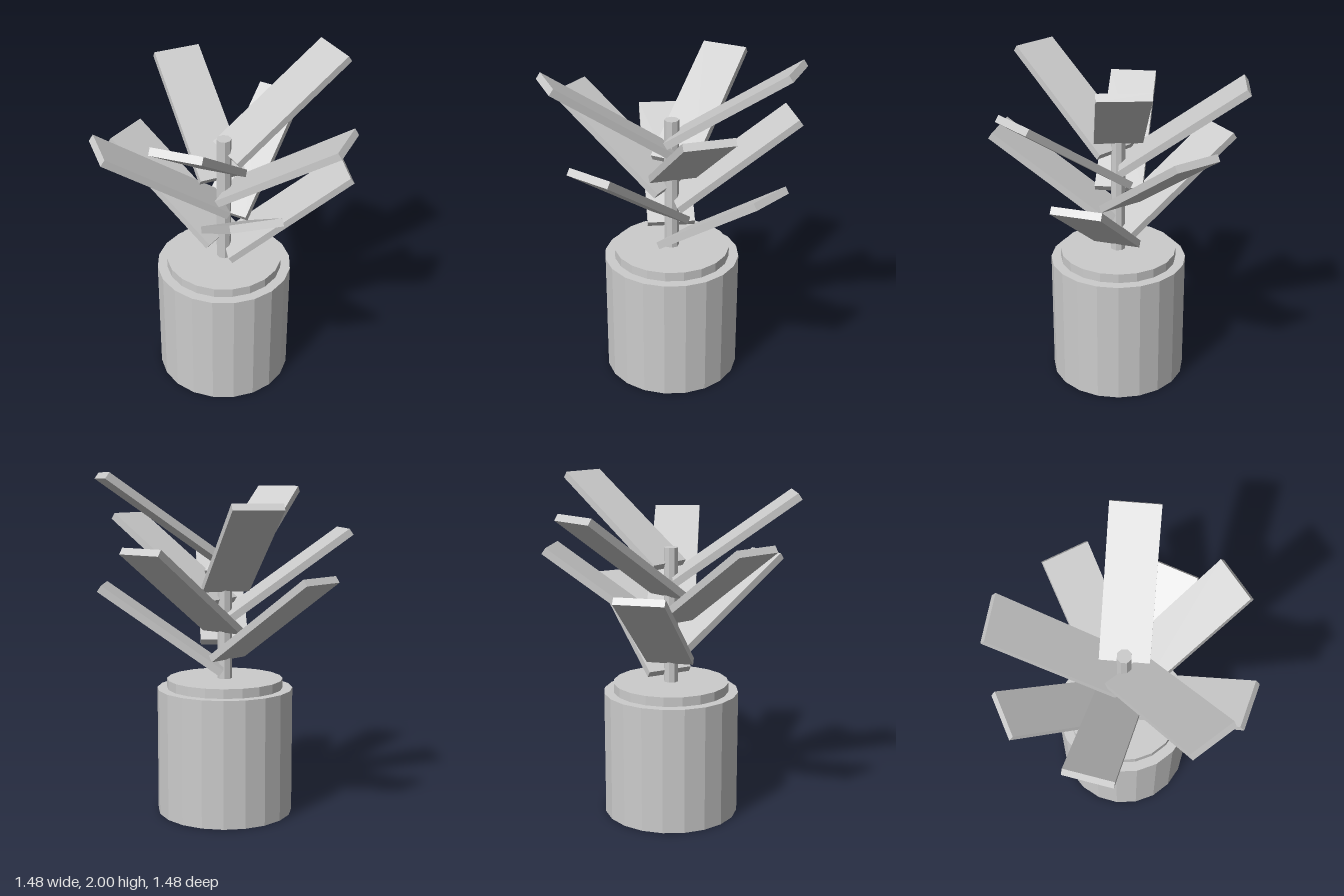
import * as THREE from 'three';

export function createModel() {
  const model = new THREE.Group();
  model.name = 'pottedPlant';
  const grey = new THREE.MeshStandardMaterial({ color: 0xcccccc });
  grey.name = 'light grey';
  grey.flatShading = true;

  // Adds an upright faceted cylinder between two heights
  function column(name, radius, bottom, top, sides) {
    const mesh = new THREE.Mesh(
      new THREE.CylinderGeometry(radius, radius, top - bottom, sides), grey);
    mesh.name = name;
    mesh.position.y = (bottom + top) / 2;
    model.add(mesh);
  }

  column('pot', 0.4, 0, 0.745, 20);
  column('soil', 0.342, 0.72, 0.8, 20);
  column('stem', 0.043, 0.78, 1.6, 8);

  // Slanted slab leaves, spiralling up the stem by the golden angle
  const leafGeometry = new THREE.BoxGeometry(0.855, 0.0425, 0.28);
  for (let i = 0; i < 9; i++) {
    const arm = new THREE.Group();
    arm.name = `leafArm${i + 1}`;
    arm.position.y = 1.0975 + i * 0.08;
    arm.rotation.y = THREE.MathUtils.degToRad(137.5 * i);
    const leaf = new THREE.Mesh(leafGeometry, grey);
    leaf.name = `leaf${i + 1}`;
    leaf.position.x = 0.368;
    leaf.rotation.z = THREE.MathUtils.degToRad(35);
    arm.add(leaf);
    model.add(arm);
  }
  return model;
}
